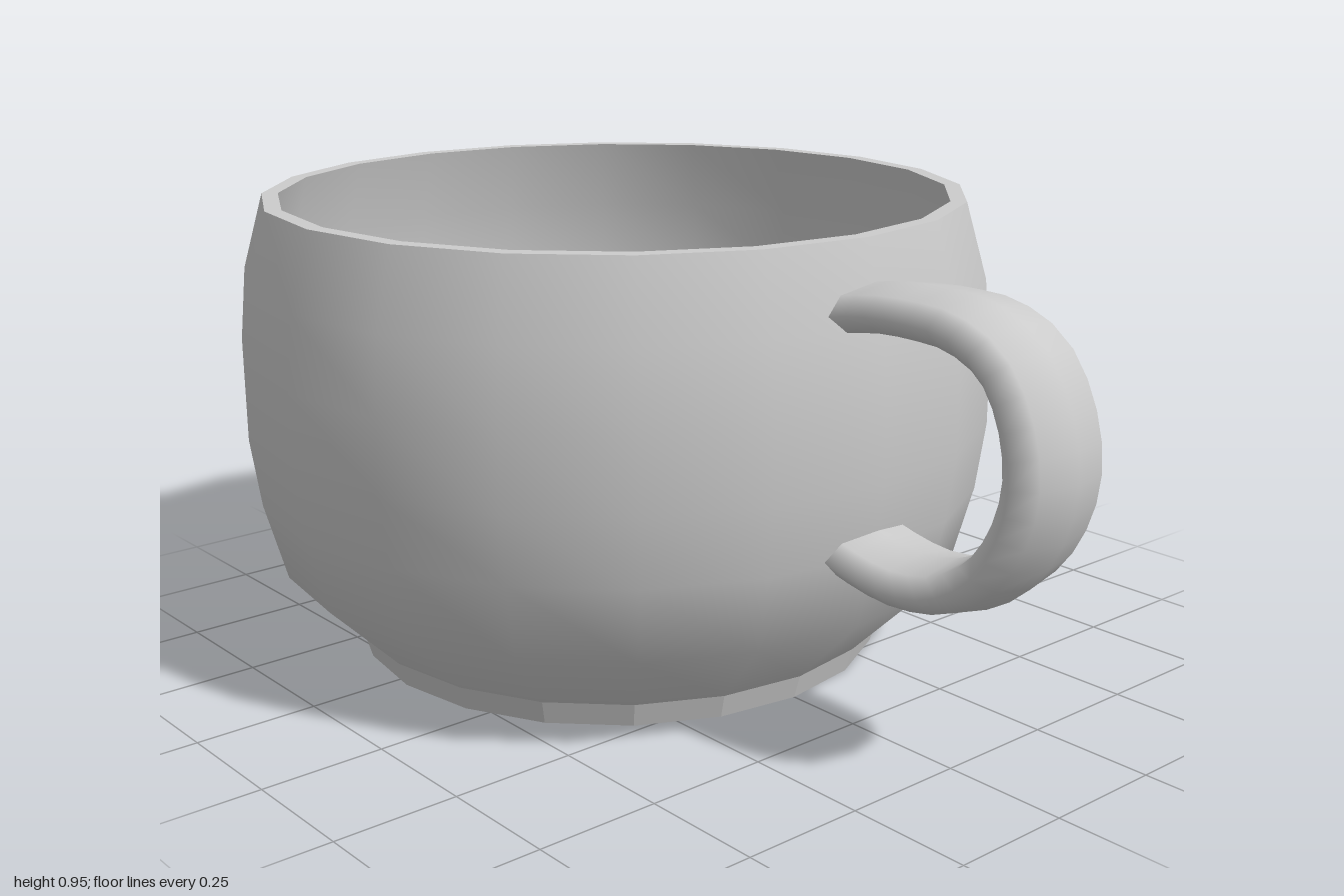
import * as THREE from 'three';

const SIDES = 20;
const CUP_X = -0.218;
const material = new THREE.MeshStandardMaterial({ color: 0xcccccc });
const flatMaterial = new THREE.MeshStandardMaterial({ color: 0xcccccc, flatShading: true });

// Turned surface from [radius, height] pairs; each piece keeps its own crisp border
function turned(name, profile, mat = material) {
  const points = profile.map(([r, y]) => new THREE.Vector2(r, y));
  const mesh = new THREE.Mesh(new THREE.LatheGeometry(points, SIDES), mat);
  mesh.name = name;
  return mesh;
}

// Flattened eight-sided tube along a side-on loop, slightly thicker at the far bend
function createHandle() {
  const path = [
    [0.515, 0.825], [0.6, 0.84], [0.68, 0.844], [0.78, 0.838], [0.868, 0.797], [0.922, 0.715],
    [0.943, 0.61], [0.922, 0.515], [0.868, 0.43], [0.78, 0.37], [0.68, 0.348], [0.6, 0.352], [0.515, 0.37],
  ];
  const curve = new THREE.CatmullRomCurve3(path.map(([x, y]) => new THREE.Vector3(x, y, 0)));
  const steps = 24, sides = 8, halfThickness = 0.047, halfWidth = 0.115;
  const geometry = new THREE.TubeGeometry(curve, steps, halfThickness, sides);
  const position = geometry.attributes.position;
  for (let i = 0; i <= steps; i++) {
    const centre = curve.getPointAt(i / steps);
    const swell = 1 + 0.2 * Math.sin(Math.PI * i / steps) ** 4;
    for (let j = 0; j <= sides; j++) {
      const k = i * (sides + 1) + j;
      position.setXY(k,
        centre.x + (position.getX(k) - centre.x) * swell,
        centre.y + (position.getY(k) - centre.y) * swell);
    }
  }
  geometry.scale(1, 1, halfWidth / halfThickness);
  const mesh = new THREE.Mesh(geometry, material);
  mesh.name = 'handle';
  return mesh;
}

export function createModel() {
  const model = new THREE.Group();
  model.name = 'cup';

  const bowl = new THREE.Group();
  bowl.name = 'bowl';
  bowl.position.x = CUP_X;
  bowl.add(
    turned('base', [[0, 0], [0.555, 0]], flatMaterial),
    turned('footRing', [[0.555, 0], [0.57, 0.05]], flatMaterial),
    turned('outerWall', [
      [0.57, 0.05], [0.72, 0.2], [0.763, 0.36], [0.782, 0.5],
      [0.782, 0.65], [0.767, 0.8], [0.723, 0.953],
    ]),
    turned('rim', [[0.723, 0.953], [0.69, 0.953]], flatMaterial),
    // Inside surface, running smoothly into a raised floor
    turned('innerWall', [
      [0.69, 0.953], [0.73, 0.8], [0.745, 0.65], [0.745, 0.5],
      [0.728, 0.37], [0, 0.37],
    ]),
  );

  model.add(bowl, createHandle());
  return model;
}
